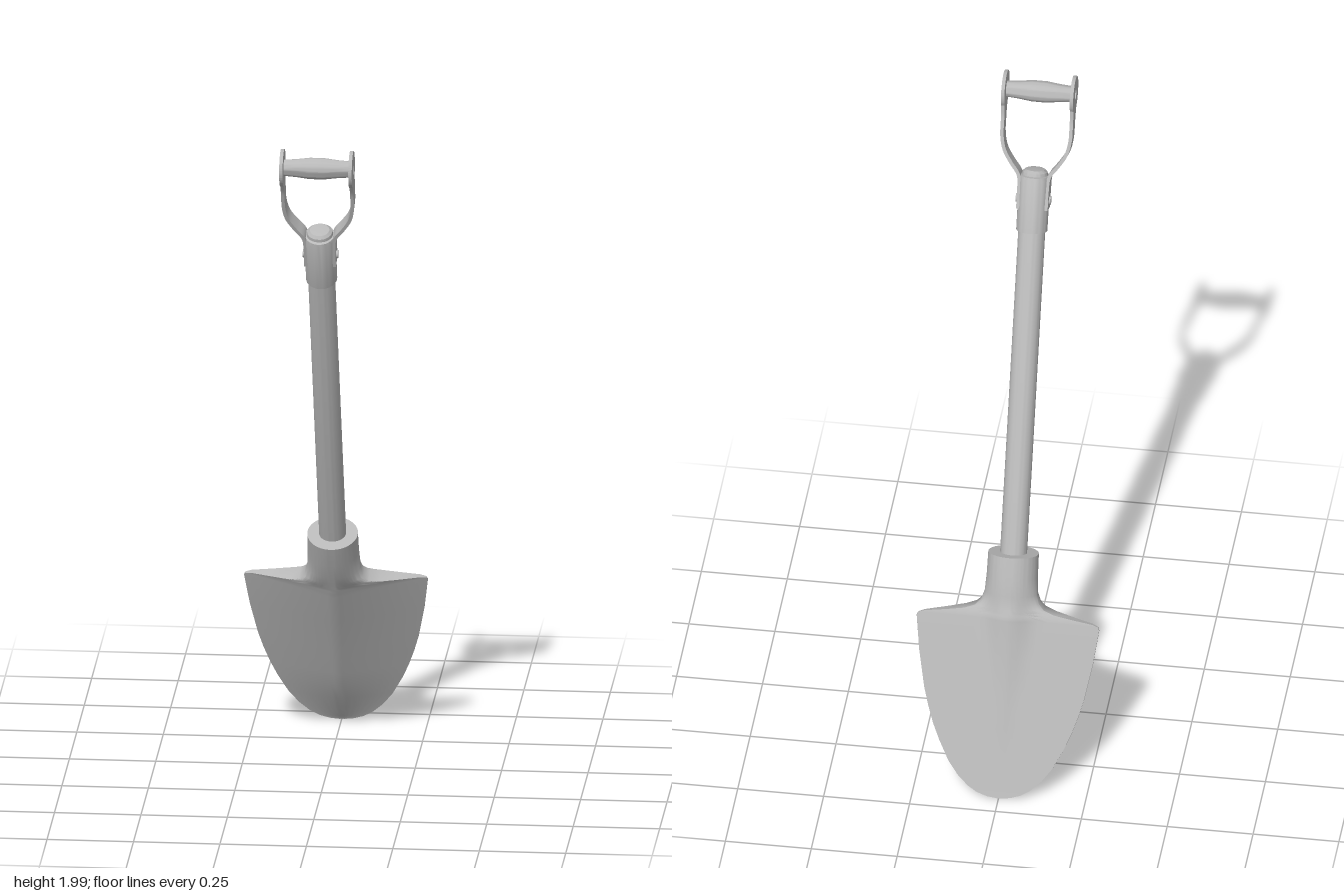
import * as THREE from 'three';
import { toCreasedNormals, mergeVertices } from 'three/addons/utils/BufferGeometryUtils.js';

const steel = new THREE.MeshStandardMaterial({ color: 0xb8b8b8 });
steel.name = 'grey steel';

// Skin closed rings of equal length, running from top to bottom
function loft(rings, capTop, capBottom) {
  const n = rings[0].length, pos = rings.flat(2), idx = [];
  for (let i = 0; i < rings.length - 1; i++) {
    for (let j = 0; j < n; j++) {
      const a = i * n + j, b = i * n + (j + 1) % n, c = a + n, d = b + n;
      idx.push(a, b, c, b, d, c);
    }
  }
  const cap = (start, flip) => {
    for (let j = 1; j < n - 1; j++) {
      if (flip) idx.push(start, start + j, start + j + 1);
      else idx.push(start, start + j + 1, start + j);
    }
  };
  if (capTop) cap(0, false);
  if (capBottom) cap((rings.length - 1) * n, true);
  const g = new THREE.BufferGeometry();
  g.setAttribute('position', new THREE.Float32BufferAttribute(pos, 3));
  g.setIndex(idx);
  return g;
}

// Socket and blade in one skin: height, half width, front, rim, back rib, roundness
const bladeStations = [
  [0.568, 0.073, 0.076, 0, 0, 1],
  [0.50, 0.074, 0.072, 0, 0, 1],
  [0.45, 0.077, 0.066, 0, 0.03, 0.9],
  [0.425, 0.085, 0.063, -0.025, 0.03, 0.5],
  [0.41, 0.10, 0.061, -0.033, 0.03, 0.2],
  [0.40, 0.13, 0.06, -0.036, 0.029, 0],
  [0.392, 0.18, 0.059, -0.038, 0.028, 0],
  [0.383, 0.245, 0.058, -0.04, 0.027, 0],
  [0.377, 0.262, 0.057, -0.04, 0.026, 0],
  [0.368, 0.266, 0.056, -0.04, 0.025, 0],
  [0.264, 0.253, 0.043, -0.039, 0.012, 0],
  [0.156, 0.233, 0.030, -0.038, 0.006, 0],
  [0.10, 0.218, 0.024, -0.037, 0.004, 0],
  [0.048, 0.201, 0.018, -0.036, 0.002, 0],
  [0.0, 0.181, 0.012, -0.034, 0, 0],
  [-0.06, 0.151, -0.001, -0.033, 0, 0],
  [-0.10, 0.122, -0.012, -0.032, 0, 0],
  [-0.13, 0.091, -0.020, -0.031, 0, 0],
  [-0.147, 0.064, -0.025, -0.031, 0, 0],
  [-0.157, 0.034, -0.028, -0.031, 0, 0],
  [-0.161, 0.002, -0.029, -0.031, 0, 0],
];

function bladeGeometry() {
  const n = 96;
  const rings = bladeStations.map(([y, w, front, rim, rib, round]) => {
    const span = y > 0.368 ? 0.266 : w;
    const ribWidth = 0.085 * Math.max(0.1, Math.min(1, (y + 0.02) / 0.4));
    return Array.from({ length: n }, (_, j) => {
      const a = (j / n) * Math.PI * 2, x = w * Math.cos(a), s = Math.sin(a);
      let flat = rim;
      if (s > 1e-6) flat = rim + 0.003 + (front - rim - 0.003) * (1 - Math.abs(x) / span);
      else if (s < -1e-6) {
        const u = Math.min(1, Math.abs(x) / ribWidth);
        flat = rim - 0.003 - rib * Math.cos(u * Math.PI / 2) ** 2;
      }
      const circle = s * (s > 0 ? front : 0.072);
      return [x, y, flat + (circle - flat) * round];
    });
  });
  return toCreasedNormals(loft(rings, true, false), 0.75);
}

// Flat strap bowing out from the collar to the grip plate
function strapGeometry(side) {
  const curve = new THREE.CatmullRomCurve3([
    [0.1, 1.915], [0.1, 1.86], [0.099, 1.81], [0.09, 1.77],
    [0.068, 1.733], [0.045, 1.7], [0.041, 1.66], [0.041, 1.6],
  ].map(([x, y]) => new THREE.Vector3(x, y, 0)));
  const rings = [];
  for (let i = 0; i <= 28; i++) {
    const p = curve.getPoint(i / 28), t = curve.getTangent(i / 28);
    const nx = -t.y * 0.005, ny = t.x * 0.005;
    const half = 0.023 + 0.012 * Math.max(0, (p.y - 1.87) / 0.045) + 0.006 * Math.max(0, (1.76 - p.y) / 0.16);
    const ring = [[1, -1], [1, 1], [-1, 1], [-1, -1]]
      .map(([k, z]) => [side * (p.x + k * nx), p.y + k * ny, z * half]);
    rings.push(side > 0 ? ring : ring.reverse());
  }
  return toCreasedNormals(loft(rings, true, true), 0.6);
}

// Round eye plate with a hole
function eyeGeometry() {
  const shape = new THREE.Shape().absarc(0, 0, 0.054, 0, Math.PI * 2);
  shape.holes.push(new THREE.Path().absarc(0, 0, 0.015, 0, Math.PI * 2, true));
  const g = new THREE.ExtrudeGeometry(shape, { depth: 0.01, bevelEnabled: false, curveSegments: 24 });
  g.translate(0, 0, -0.005);
  g.rotateY(Math.PI / 2);
  return g;
}

function lathe(points) {
  const g = new THREE.LatheGeometry(points.map(([r, y]) => new THREE.Vector2(r, y)), 40);
  g.deleteAttribute('uv');
  g.deleteAttribute('normal');
  return toCreasedNormals(mergeVertices(g), 0.6);
}

export function createModel() {
  const model = new THREE.Group();
  model.name = 'shovel';
  // Everything is built upright, then leaned forward
  const body = new THREE.Group();
  body.name = 'leaningBody';
  body.position.set(0, 0.1436, -0.3485);
  body.rotation.x = THREE.MathUtils.degToRad(22.4);
  model.add(body);

  const add = (name, geometry, x = 0, y = 0, z = 0) => {
    const mesh = new THREE.Mesh(geometry, steel);
    mesh.name = name;
    mesh.position.set(x, y, z);
    body.add(mesh);
    return mesh;
  };

  add('blade', bladeGeometry());
  // Shaft with a softly domed top
  add('shaft', lathe([[0, 0.5], [0.039, 0.5], [0.039, 1.695], [0.036, 1.708], [0.028, 1.715], [0, 1.718]]));
  // Slightly oval collar around the shaft top
  const collar = add('collar', lathe([[0.036, 1.533], [0.05, 1.533], [0.05, 1.69], [0.047, 1.698], [0.036, 1.7]]));
  collar.scale.x = 0.9;

  for (const side of [1, -1]) {
    const prefix = side > 0 ? 'left' : 'right';
    add(prefix + 'Strap', strapGeometry(side));
    add(prefix + 'GripPlate', eyeGeometry(), side * 0.1, 1.947, 0);
    const rivet = new THREE.CylinderGeometry(0.012, 0.012, 0.012, 20);
    rivet.rotateZ(Math.PI / 2);
    add(prefix + 'Rivet', rivet, side * 0.045, 1.625, 0);
  }

  // Barrel grip, bored through
  const grip = lathe([[0.015, -0.1], [0.023, -0.1], [0.026, -0.06], [0.031, -0.02],
    [0.031, 0.02], [0.026, 0.06], [0.023, 0.1], [0.015, 0.1], [0.015, -0.1]]);
  grip.rotateZ(Math.PI / 2);
  add('grip', grip, 0, 1.947, 0);
  return model;
}
